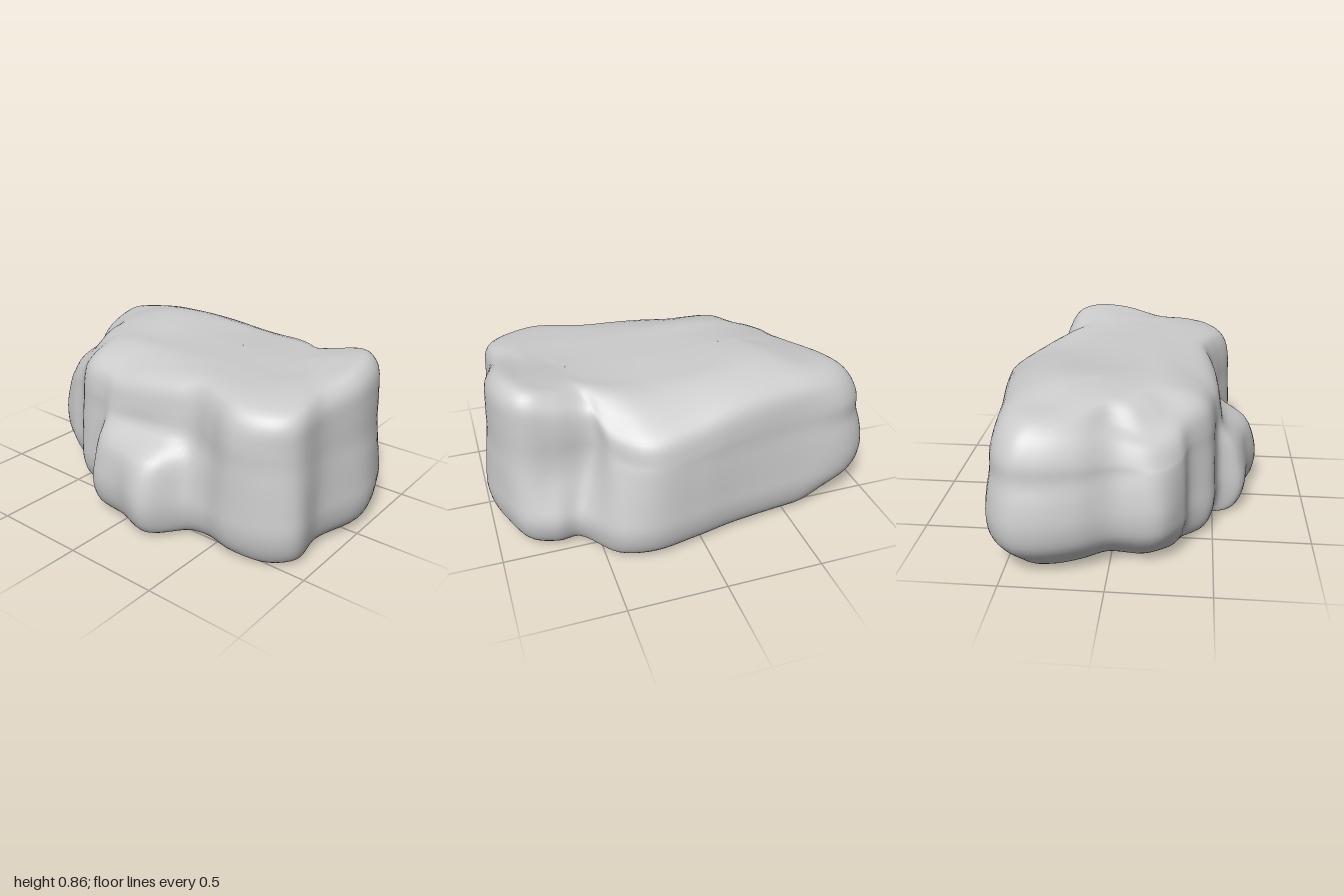
import * as THREE from 'three';
import { mergeVertices } from 'three/addons/utils/BufferGeometryUtils.js';

// Plan outline, counterclockwise from the front: foot x, foot z, wall-top x, wall-top z, shoulder height
const OUTLINE = [
  [0.06, 1.0, 0.05, 0.955, 0.85], [0.3, 0.94, 0.26, 0.92, 0.87], [0.45, 0.86, 0.38, 0.83, 0.86],
  [0.51, 0.72, 0.415, 0.68, 0.83], [0.51, 0.6, 0.425, 0.5, 0.79], [0.69, 0.44, 0.56, 0.43, 0.72],
  [0.735, 0.27, 0.68, 0.27, 0.7], [0.7, 0.04, 0.66, 0.02, 0.73], [0.65, -0.2, 0.62, -0.2, 0.77],
  [0.61, -0.52, 0.57, -0.5, 0.79], [0.57, -0.86, 0.54, -0.81, 0.78], [0.46, -0.985, 0.44, -0.93, 0.775],
  [0.33, -1.0, 0.31, -0.94, 0.765], [0.14, -0.95, 0.13, -0.89, 0.75], [-0.03, -0.86, -0.03, -0.8, 0.72],
  [-0.25, -0.83, -0.22, -0.77, 0.68], [-0.35, -0.69, -0.33, -0.66, 0.69], [-0.38, -0.57, -0.37, -0.55, 0.73],
  [-0.49, -0.45, -0.47, -0.42, 0.76], [-0.53, -0.27, -0.5, -0.25, 0.76], [-0.65, -0.21, -0.52, -0.17, 0.75],
  [-0.69, 0.0, -0.52, 0.0, 0.77], [-0.74, 0.2, -0.5, 0.19, 0.79], [-0.59, 0.35, -0.48, 0.33, 0.8],
  [-0.57, 0.46, -0.52, 0.46, 0.8], [-0.6, 0.62, -0.58, 0.62, 0.79], [-0.56, 0.81, -0.54, 0.78, 0.78],
  [-0.46, 0.93, -0.44, 0.89, 0.78], [-0.25, 0.92, -0.22, 0.9, 0.8],
];
const COLUMNS = 174, ROWS = 48;
const { clamp, lerp, smoothstep } = THREE.MathUtils;

const bump = (x, z, cx, cz, r) => Math.exp(-((x - cx) ** 2 + (z - cz) ** 2) / (r * r));

// Gently uneven top face
const topHeight = (x, z) => 0.81
  + 0.045 * bump(x, z, 0.22, 0.82, 0.22)
  + 0.03 * bump(x, z, 0.2, -0.38, 0.22)
  - 0.03 * bump(x, z, 0.48, 0.2, 0.22)
  - 0.05 * bump(x, z, -0.25, -0.72, 0.25)
  - 0.035 * smoothstep(-z, 0.45, 0.8);

// Nearly flat underside with two low spots it rests on
const bottomHeight = (x, z) => 0.02
  - 0.02 * bump(x, z, -0.5, 0.78, 0.12) - 0.02 * bump(x, z, 0.2, -0.08, 0.15);

// One vertical section, from the underside spine up the wall to the top spine
function section(foot, wall, h) {
  const spine = new THREE.Vector2(0.08, clamp(foot.z, -0.38, 0.58));
  const back = smoothstep(-foot.z, 0.55, 0.95);     // undercut and leaning back end
  const front = smoothstep(foot.z, 0.6, 0.9);       // crisper front shoulder
  const knob = bump(foot.x, foot.z, -0.7, 0.05, 0.3);  // low side knob
  const toe = bump(foot.x, foot.z, 0.5, 0.72, 0.2);    // flared front corner
  const flank = bump(foot.x, foot.z, -0.55, 0.4, 0.25); // squarer shoulder on the left flank
  const points = [];
  const add = (blend, inset, y) => {
    const p = new THREE.Vector2(foot.x, foot.z).lerp(new THREE.Vector2(wall.x, wall.z), blend);
    p.add(spine.clone().sub(p).setLength(inset));
    points.push(new THREE.Vector3(p.x, y, p.y));
  };
  const across = (from, f, heightAt) => {
    const x = lerp(from.x, spine.x, f), z = lerp(from.z, spine.y, f);
    points.push(new THREE.Vector3(x, heightAt(x, z), z));
  };
  const shape = (usual, knobby, flared) => lerp(lerp(usual, knobby, knob), flared, toe);
  across(foot, 1, bottomHeight);
  across(foot, 0.5 + 0.2 * back, bottomHeight);
  across(foot, 0.2 + 0.25 * back, bottomHeight);
  add(0, 0.06 + 0.13 * back, bottomHeight(foot.x, foot.z) + 0.008);
  add(0, 0.02 + 0.1 * back, 0.08);
  add(0, 0.025 * back, 0.18);
  add(shape(0.2, 0.04, 0.4) * (1 - back), 0, 0.29);
  add(shape(0.5, 0.25, 0.85) * (1 - 0.4 * back), 0, 0.41);
  add(shape(0.82, 0.92, 1), 0, 0.51);
  add(1, 0, h * 0.78);
  add(1, 0.025 + 0.03 * back - 0.01 * front, h - 0.07);
  add(1, 0.09 + 0.05 * back - 0.02 * front - 0.02 * flank, h - 0.01);
  across(wall, 0.45, topHeight);
  across(wall, 0.7, topHeight);
  across(wall, 1, topHeight);
  return new THREE.CatmullRomCurve3(points, false, 'centripetal');
}

function boulderGeometry() {
  const loop = (pick) => new THREE.CatmullRomCurve3(OUTLINE.map(pick), true, 'centripetal');
  const footLoop = loop(([x, z]) => new THREE.Vector3(x, 0, z));
  const wallLoop = loop(([, , x, z, h]) => new THREE.Vector3(x, h, z));
  const positions = [], index = [];
  for (let i = 0; i < COLUMNS; i++) {
    const wall = wallLoop.getPoint(i / COLUMNS);
    const curve = section(footLoop.getPoint(i / COLUMNS), wall, wall.y);
    for (let j = 0; j <= ROWS; j++) positions.push(...curve.getPoint(j / ROWS).toArray());
  }
  for (let i = 0; i < COLUMNS; i++) {
    for (let j = 0; j < ROWS; j++) {
      const a = i * (ROWS + 1) + j, b = ((i + 1) % COLUMNS) * (ROWS + 1) + j;
      index.push(a, b, b + 1, a, b + 1, a + 1);
    }
  }
  let geometry = new THREE.BufferGeometry();
  geometry.setAttribute('position', new THREE.Float32BufferAttribute(positions, 3));
  geometry.setIndex(index);
  geometry = mergeVertices(geometry, 1e-4);
  geometry.computeVertexNormals();
  return geometry;
}

export function createModel() {
  const group = new THREE.Group();
  group.name = 'rock';
  const boulder = new THREE.Mesh(boulderGeometry(), new THREE.MeshStandardMaterial({ color: 0xcccccc, roughness: 0.9 }));
  boulder.name = 'boulder';
  group.add(boulder);
  return group;
}
